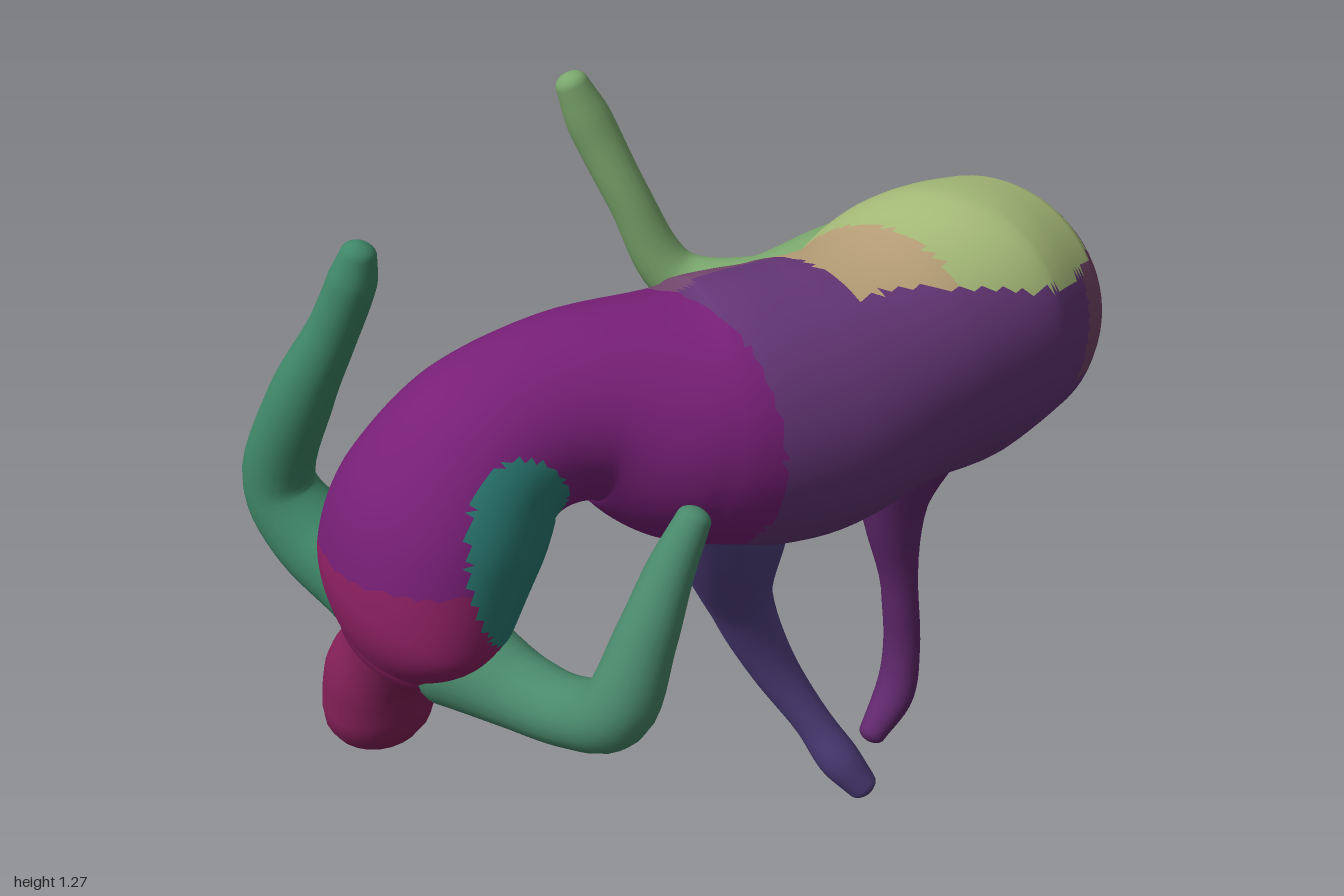
import * as THREE from 'three';

const V = (x, y, z) => new THREE.Vector3(x, y, z);

// Smooth closed skin over sections [x, y, z, halfWidth, halfDepth, roll], with rounded ends.
function loft(sections, ref, sides = 20, perSection = 6, cap = 0.7) {
  const path = new THREE.CatmullRomCurve3(sections.map(s => V(s[0], s[1], s[2])));
  const radii = new THREE.CatmullRomCurve3(sections.map(s => V(s[3], s[4] ?? s[3], s[5] ?? 0)));
  const steps = (sections.length - 1) * perSection, capSteps = 5;
  const rings = [];
  const addCap = (t, sign, i) => {
    const r = radii.getPoint(t), a = (i / capSteps) * Math.PI / 2;
    const d = path.getTangent(t);
    const c = path.getPoint(t).addScaledVector(d, sign * Math.sin(a) * Math.min(r.x, r.y) * cap);
    rings.push({ c, d, a: r.x * Math.cos(a), b: r.y * Math.cos(a), roll: r.z });
  };
  for (let i = capSteps; i > 0; i--) addCap(0, -1, i);
  for (let i = 0; i <= steps; i++) {
    const t = i / steps, r = radii.getPoint(t);
    rings.push({ c: path.getPoint(t), d: path.getTangent(t), a: r.x, b: r.y, roll: r.z });
  }
  for (let i = 1; i <= capSteps; i++) addCap(1, 1, i);

  const pos = [], index = [], u = ref.clone();
  rings.forEach(({ c, d, a, b, roll }, i) => {
    u.addScaledVector(d, -u.dot(d)).normalize();
    const wide = u.clone().applyAxisAngle(d, roll);
    const deep = d.clone().cross(wide);
    for (let j = 0; j < sides; j++) {
      const w = (j / sides) * Math.PI * 2;
      const p = c.clone().addScaledVector(wide, a * Math.cos(w)).addScaledVector(deep, b * Math.sin(w));
      pos.push(p.x, p.y, p.z);
      if (i === rings.length - 1) continue;
      const k = (j + 1) % sides, A = i * sides, B = A + sides;
      index.push(A + j, A + k, B + k, A + j, B + k, B + j);
    }
  });
  const g = new THREE.BufferGeometry();
  g.setAttribute('position', new THREE.Float32BufferAttribute(pos, 3));
  g.setIndex(index);
  g.computeVertexNormals();
  return g;
}

function part(parent, name, geometry, color) {
  const mesh = new THREE.Mesh(geometry, new THREE.MeshStandardMaterial({ color }));
  mesh.name = name;
  parent.add(mesh);
}

// Splits a skin into coloured patches; each face joins the first patch whose test accepts its centre.
function patches(parent, geometry, list) {
  const p = geometry.attributes.position, idx = geometry.index.array;
  const faces = list.map(() => []);
  for (let i = 0; i < idx.length; i += 3) {
    const c = V(0, 0, 0);
    for (let k = 0; k < 3; k++) c.add(V(0, 0, 0).fromBufferAttribute(p, idx[i + k]));
    c.divideScalar(3);
    faces[list.findIndex(l => l[2](c))].push(idx[i], idx[i + 1], idx[i + 2]);
  }
  list.forEach(([name, color], n) => {
    if (!faces[n].length) return;
    const g = geometry.clone();
    g.setIndex(faces[n]);
    part(parent, name, g, color);
  });
}

export function createModel() {
  const model = new THREE.Group();
  model.name = 'centaur';

  // Trunk: rump, barrel and the human torso bending forward and down
  const trunk = new THREE.Group();
  trunk.name = 'trunk';
  model.add(trunk);
  const skin = loft([
    [0.445, 0.88, 0.11, 0.09, 0.1, 0.5],
    [0.385, 0.875, 0.13, 0.185, 0.19, 0.5],
    [0.29, 0.875, 0.15, 0.25, 0.23, 0.6],
    [0.13, 0.88, 0.175, 0.285, 0.245, 0.6],
    [-0.05, 0.88, 0.21, 0.245, 0.22, 0.5],
    [-0.25, 0.87, 0.2, 0.23, 0.23, 0.2],
    [-0.42, 0.89, 0.145, 0.22, 0.21, 0],
    [-0.58, 0.93, 0.085, 0.165, 0.15, -0.1],
    [-0.72, 0.895, 0.045, 0.16, 0.145, -0.2],
    [-0.80, 0.79, 0.015, 0.19, 0.16, -0.2],
    [-0.835, 0.675, -0.02, 0.21, 0.14, -0.2],
    [-0.84, 0.585, -0.045, 0.15, 0.1, -0.2],
  ], V(0, 0, 1), 64, 14, 0.5);
  const onBack = c => c.x > -0.2 && c.x < 0.37 && c.y > 1.05 + 0.44 * (c.z - 0.4) - 0.05 * Math.sin(8 * c.x);
  patches(trunk, skin, [
    ['loin', 0xb8a078, c => onBack(c) && c.x < -0.02],
    ['back', 0xa6bb78, onBack],
    ['shoulderBlade', 0x2a7a72, c => Math.hypot((c.x + 0.78) / 0.1, (c.y - 0.77) / 0.16) < 1 && c.z > 0.06],
    ['chest', 0x8c2062, c => c.x < -0.6 && c.y < 0.74],
    ['waist', 0x771f76, c => c.x < -0.42],
    ['innerFlank', 0x75486f, c => c.x < -0.02 && c.z < 0.14],
    ['rump', 0x744668, c => c.x > 0.28 && c.y > 0.8],
    ['barrel', 0x643676, () => true],
  ]);

  // Neck and head hanging down
  part(model, 'head', loft([
    [-0.84, 0.61, -0.03, 0.09],
    [-0.845, 0.54, -0.08, 0.08],
    [-0.845, 0.48, -0.12, 0.09, 0.086],
    [-0.84, 0.415, -0.137, 0.094, 0.083],
  ], V(1, 0, 0), 24, 6, 0.95), 0x842058);

  // Tail sweeping out and down
  part(model, 'tail', loft([
    [0.38, 0.92, 0.13, 0.06],
    [0.48, 0.935, 0.075, 0.035],
    [0.6, 0.885, 0, 0.04],
    [0.74, 0.765, -0.08, 0.052],
    [0.88, 0.635, -0.16, 0.05],
    [0.975, 0.545, -0.215, 0.034],
  ], V(0, 0, 1)), 0x75465e);

  // Legs: section lists run from the body to the hoof
  const legs = {
    standingHindLeg: [0x60286c, [
      [0.2, 0.78, 0.11, 0.16, 0.17],
      [0.185, 0.65, 0.09, 0.105, 0.13],
      [0.165, 0.5, 0.072, 0.055, 0.07],
      [0.185, 0.32, 0.068, 0.035],
      [0.2, 0.18, 0.062, 0.036, 0.034],
      [0.185, 0.09, 0.06, 0.038],
      [0.125, 0.025, 0.06, 0.026],
    ]],
    frontLeftLeg: [0x514180, [
      [-0.38, 0.8, 0.2, 0.14],
      [-0.345, 0.65, 0.18, 0.09, 0.1],
      [-0.295, 0.5, 0.15, 0.05, 0.058],
      [-0.235, 0.36, 0.16, 0.042],
      [-0.18, 0.24, 0.205, 0.033],
      [-0.15, 0.17, 0.235, 0.037],
      [-0.118, 0.11, 0.265, 0.028],
    ]],
    frontRightLeg: [0x754a68, [
      [-0.38, 0.82, 0.05, 0.14],
      [-0.27, 0.72, -0.05, 0.085],
      [-0.13, 0.635, -0.16, 0.047],
      [0.01, 0.57, -0.25, 0.036],
      [0.11, 0.535, -0.29, 0.028],
      [0.185, 0.505, -0.32, 0.03],
    ]],
  };
  for (const [name, [color, sections]] of Object.entries(legs)) {
    part(model, name, loft(sections, V(0, 0, 1)), color);
  }

  // Raised hind leg, thigh outward and shank up
  part(model, 'raisedHindLeg', loft([
    [0.23, 0.88, 0.04, 0.18],
    [0.16, 0.86, -0.08, 0.135],
    [0.06, 0.85, -0.2, 0.08],
    [-0.02, 0.89, -0.31, 0.05],
    [-0.08, 1.04, -0.36, 0.04],
    [-0.12, 1.17, -0.405, 0.042],
    [-0.15, 1.25, -0.42, 0.03],
  ], V(1, 0, 0)), 0x7aa66c);

  // Arms bent at the elbow
  part(model, 'rightArm', loft([
    [-0.84, 0.65, -0.13, 0.09],
    [-0.885, 0.71, -0.22, 0.07],
    [-0.91, 0.79, -0.26, 0.058],
    [-0.9, 0.95, -0.195, 0.052],
    [-0.87, 1.08, -0.13, 0.04],
    [-0.855, 1.16, -0.095, 0.038],
    [-0.85, 1.205, -0.08, 0.028],
  ], V(1, 0, 0)), 0x3f8768);
  part(model, 'leftArm', loft([
    [-0.83, 0.58, 0.08, 0.085],
    [-0.8, 0.55, 0.2, 0.062],
    [-0.785, 0.55, 0.3, 0.056],
    [-0.775, 0.585, 0.385, 0.058],
    [-0.735, 0.7, 0.412, 0.048],
    [-0.69, 0.8, 0.42, 0.037],
    [-0.65, 0.875, 0.43, 0.027],
  ], V(1, 0, 0)), 0x4a8a6c);

  return model;
}
